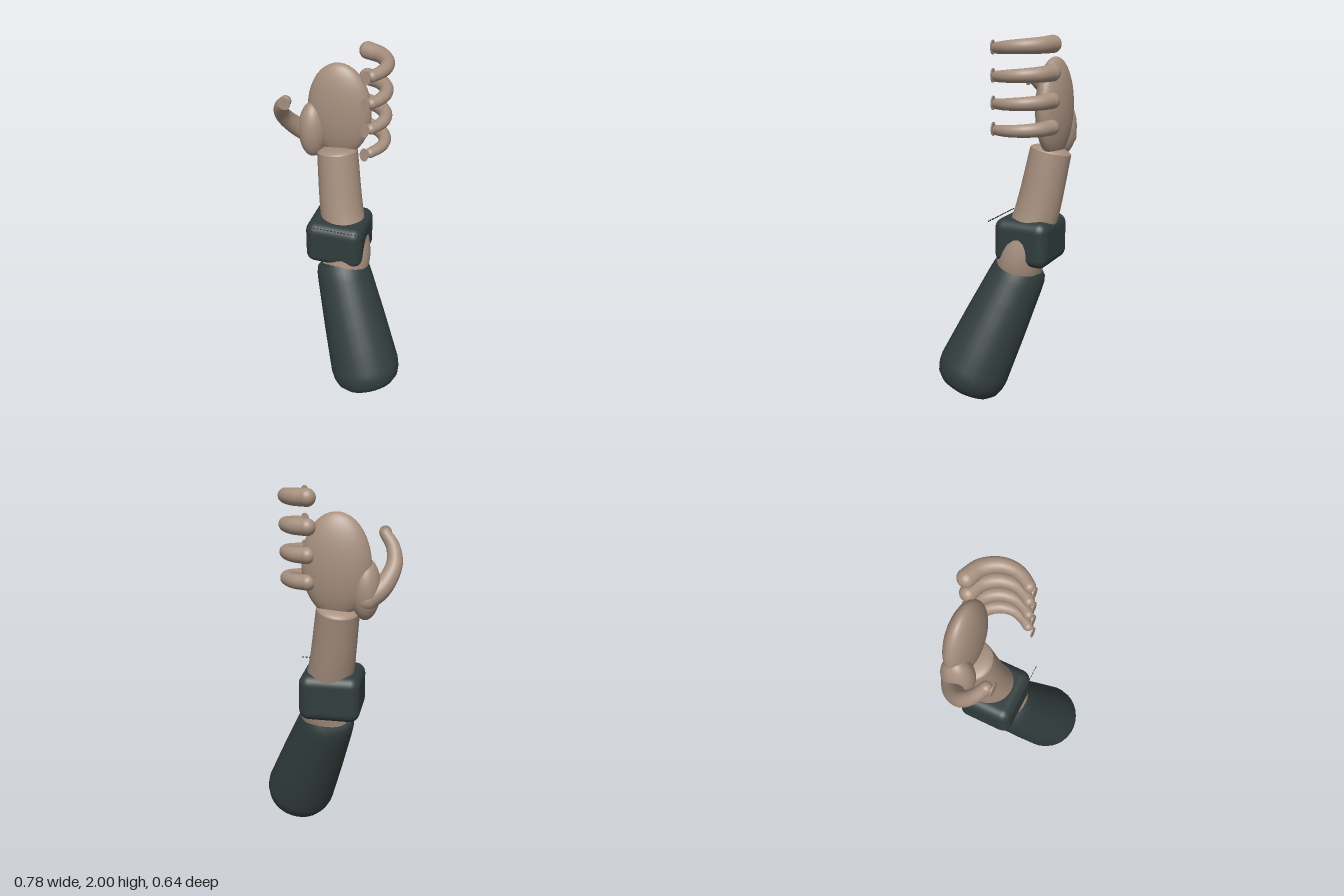
import * as THREE from 'three';
import { RoundedBoxGeometry } from 'three/addons/geometries/RoundedBoxGeometry.js';

const skin = new THREE.MeshStandardMaterial({ color: 0xa68f7e });
skin.name = 'skin';
const cloth = new THREE.MeshStandardMaterial({ color: 0x323d3d });
cloth.name = 'darkCloth';

const V = (p) => new THREE.Vector3(...p);

function add(parent, name, geometry, material, position = [0, 0, 0]) {
  const mesh = new THREE.Mesh(geometry, material);
  mesh.name = name;
  mesh.position.set(...position);
  parent.add(mesh);
  return mesh;
}

function ellipsoid(parent, name, material, position, radii) {
  const g = new THREE.SphereGeometry(1, 40, 28).scale(...radii);
  return add(parent, name, g, material, position);
}

// Tube along a smooth path, its radius running from r0 to r1, with domed ends
function limb(parent, name, material, points, r0, r1, dome = 1) {
  const group = new THREE.Group();
  group.name = name;
  parent.add(group);
  const path = new THREE.CatmullRomCurve3(points.map(V));
  const rings = 32, sides = 28;
  const g = new THREE.TubeGeometry(path, rings, 1, sides, false);
  const pos = g.attributes.position;
  const v = new THREE.Vector3();
  for (let i = 0; i <= rings; i++) {
    const c = path.getPointAt(i / rings);
    const r = THREE.MathUtils.lerp(r0, r1, i / rings);
    for (let j = 0; j <= sides; j++) {
      const k = i * (sides + 1) + j;
      v.fromBufferAttribute(pos, k).sub(c).multiplyScalar(r).add(c);
      pos.setXYZ(k, v.x, v.y, v.z);
    }
  }
  add(group, name + 'Shaft', g, material);
  for (const [t, r] of [[0, r0], [1, r1]]) {
    const end = ellipsoid(group, name + 'End', material, path.getPointAt(t).toArray(), [r, r, r * dome]);
    end.lookAt(end.position.clone().add(path.getTangentAt(t)));
  }
  return group;
}

// Flat oval nail facing forward
function nail(parent, name, x, y, z, rx, ry) {
  const g = new THREE.CylinderGeometry(1, 1, 0.006, 24).rotateX(Math.PI / 2).scale(rx, ry, 1);
  add(parent, name, g, skin, [x, y, z]);
}

export function createModel() {
  const model = new THREE.Group();
  model.name = 'arm';

  // Upper sleeve: rounded tapering lathe, leaning back and to the side
  const profile = [[0, 0], [0.1, 0], [0.145, 0.018], [0.178, 0.05], [0.195, 0.095], [0.2, 0.14],
    [0.19, 0.28], [0.18, 0.42], [0.168, 0.56], [0.157, 0.69], [0.15, 0.75], [0.138, 0.785], [0.12, 0.8], [0, 0.803]];
  const sleeve = add(model, 'upperSleeve',
    new THREE.LatheGeometry(profile.map(([r, y]) => new THREE.Vector2(r, y)), 32), cloth, [0.234, 0.05, 0.161]);
  sleeve.quaternion.setFromUnitVectors(new THREE.Vector3(0, 1, 0), V([-0.18, 0.5, -0.17]).normalize());

  // Forearm, bending at the elbow
  limb(model, 'forearm', skin,
    [[0.0, 0.7, -0.06], [0.016, 0.82, -0.09], [-0.04, 1.05, -0.15], [-0.085, 1.39, -0.21]], 0.132, 0.112, 0.3);

  // Square elbow band with its row of stitches
  add(model, 'elbowBand', new RoundedBoxGeometry(0.325, 0.255, 0.31, 5, 0.055), cloth, [-0.042, 0.91, -0.117]);
  for (let i = 0; i < 16; i++) {
    add(model, 'bandStitch', new THREE.BoxGeometry(0.011, 0.006, 0.003), cloth, [-0.14 + i * 0.0195, 1.032, 0.04]);
  }

  // Palm and base of the thumb
  ellipsoid(model, 'palm', skin, [-0.08, 1.625, -0.232], [0.175, 0.262, 0.079]);
  ellipsoid(model, 'thumbBase', skin, [-0.222, 1.505, -0.207], [0.077, 0.158, 0.088]);

  // Thumb
  limb(model, 'thumb', skin,
    [[-0.23, 1.46, -0.235], [-0.3, 1.51, -0.195], [-0.352, 1.61, -0.115], [-0.337, 1.69, -0.05], [-0.295, 1.745, -0.01]],
    0.058, 0.03);
  nail(model, 'thumbNail', -0.29, 1.747, 0.024, 0.033, 0.034);

  // Four curled fingers stacked down the side of the palm
  [1.955, 1.815, 1.677, 1.543].forEach((y, i) => {
    const s = 1 - i * 0.03;
    const path = [[0.057, -0.275], [0.13, -0.245], [0.182, -0.18], [0.194, -0.11], [0.18, -0.06], [0.152, -0.015]];
    limb(model, 'finger', skin, path.map(([x, z], k) => [x, y - k * 0.004, z]), 0.044 * s, 0.029 * s);
    nail(model, 'fingerNail', 0.13, y - 0.018, 0.021, 0.023, 0.036);
  });

  return model;
}
